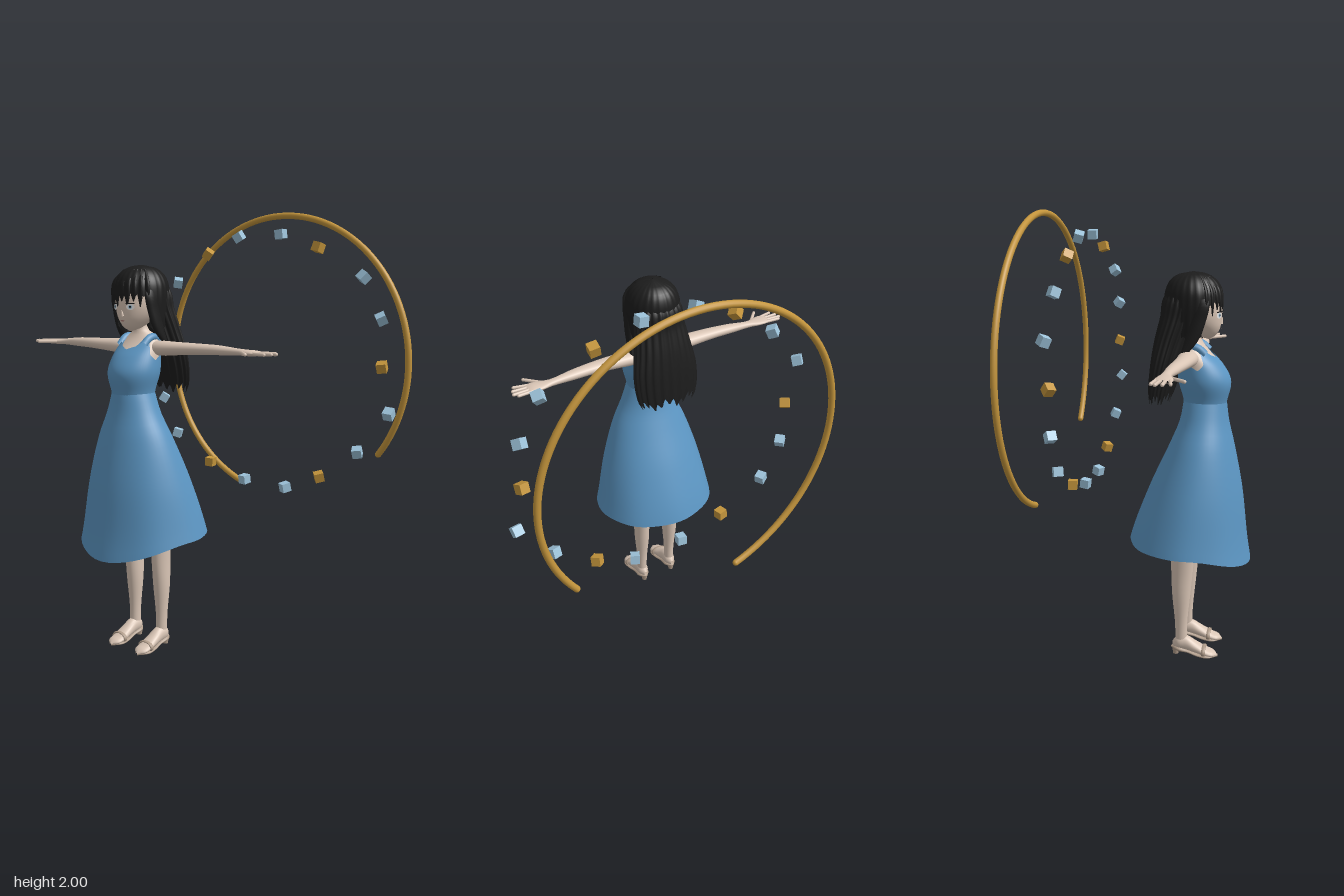
import * as THREE from 'three';

const mat = (name, color, side = THREE.FrontSide) => {
  const m = new THREE.MeshStandardMaterial({ color, side });
  m.name = name;
  return m;
};

// Smooth lookup through rows of [t, ...values]
const curve = (rows, Type = THREE.CubicInterpolant) => {
  const size = rows[0].length - 1;
  const f = new Type(rows.map(r => r[0]), rows.flatMap(r => r.slice(1)), size, new Float32Array(size));
  return t => [...f.evaluate(t)];
};

// Loft of ellipses along y; rows are [y, centreX, centreZ, radiusX, radiusZ].
// low / high trim the ends by angle (0 = front); shape scales the radius.
function loft(rows, { n = 24, m = 20, grow = 0, shape = () => 1,
  low = () => rows[0][0], high = () => rows[rows.length - 1][0] } = {}) {
  const at = curve(rows), pos = [], index = [];
  for (let i = 0; i <= m; i++) {
    for (let j = 0; j < n; j++) {
      const a = j / n * Math.PI * 2;
      const turn = Math.abs(Math.atan2(Math.sin(a), Math.cos(a)));
      const y = THREE.MathUtils.lerp(low(turn, a), high(turn, a), i / m);
      const [cx, cz, rx, rz] = at(y);
      const k = shape(a, y);
      pos.push(cx + Math.sin(a) * (rx * k + grow), y, cz + Math.cos(a) * (rz * k + grow));
      if (i < m) {
        const p = i * n + j, q = i * n + (j + 1) % n;
        index.push(p, q, p + n, q, q + n, p + n);
      }
    }
  }
  const g = new THREE.BufferGeometry();
  g.setAttribute('position', new THREE.Float32BufferAttribute(pos, 3));
  g.setIndex(index);
  g.computeVertexNormals();
  return g;
}

export function createModel() {
  const skin = mat('skin', 0xdac6b6);
  const hair = mat('hair black', 0x1c1c1c, THREE.DoubleSide);
  const blue = mat('dress blue', 0x5c96c3, THREE.DoubleSide);
  const gold = mat('gold', 0xc4953c);
  const pale = mat('pale blue', 0x9dc3da);
  const shoe = mat('shoe tan', 0xb09c8a);
  const white = mat('eye white', 0xf2efec);
  const lip = mat('lip', 0xb08078);

  const model = new THREE.Group();
  const figure = new THREE.Group();
  figure.name = 'figure';
  figure.position.x = -0.13;
  model.add(figure);
  const add = (parent, name, geometry, material, x = 0, y = 0, z = 0) => {
    const mesh = new THREE.Mesh(geometry, material);
    mesh.name = name;
    mesh.position.set(x, y, z);
    parent.add(mesh);
    return mesh;
  };

  // Torso, neck and head
  const torso = [
    [1.0, 0, 0.28, 0.1, 0.09], [1.18, 0, 0.3, 0.09, 0.088], [1.28, 0, 0.295, 0.112, 0.109],
    [1.35, 0, 0.275, 0.108, 0.092], [1.4, 0, 0.25, 0.1, 0.068], [1.435, 0, 0.24, 0.075, 0.05],
    [1.46, 0, 0.24, 0.04, 0.038], [1.53, 0, 0.25, 0.036, 0.036]];
  add(figure, 'torso', loft(torso, { n: 32, m: 30 }), skin);
  add(figure, 'head', loft([
    [1.458, 0, 0.31, 0.004, 0.004], [1.47, 0, 0.3, 0.03, 0.035], [1.5, 0, 0.282, 0.063, 0.074],
    [1.54, 0, 0.267, 0.088, 0.097], [1.6, 0, 0.263, 0.096, 0.102], [1.66, 0, 0.255, 0.09, 0.1],
    [1.71, 0, 0.25, 0.05, 0.05]], { n: 32 }), skin);
  const nose = add(figure, 'nose', new THREE.ConeGeometry(0.009, 0.03, 8), skin, 0, 1.54, 0.365);
  nose.rotation.x = 0.25;
  const mouth = add(figure, 'mouth', new THREE.CircleGeometry(0.012, 12), lip, 0, 1.505, 0.363);
  mouth.scale.y = 0.25;
  mouth.rotation.x = 0.3;

  // Bodice with scooped neck and armholes
  const top = curve([[0, 1.38], [0.4, 1.395], [0.65, 1.425], [0.9, 1.425], [1.2, 1.36], [1.57, 1.335],
    [1.95, 1.36], [2.25, 1.42], [2.6, 1.42], [3.2, 1.4]], THREE.LinearInterpolant);
  add(figure, 'bodice', loft(torso, { n: 64, grow: 0.006, low: () => 1.18, high: a => top(a)[0] }), blue);

  // Flared skirt, longer at the front
  add(figure, 'skirt', loft([
    [0.46, 0, 0.235, 0.32, 0.28], [0.545, 0, 0.235, 0.3, 0.266], [0.8, 0, 0.265, 0.243, 0.205],
    [1.0, 0, 0.29, 0.178, 0.14], [1.1, 0, 0.298, 0.13, 0.108], [1.19, 0, 0.3, 0.097, 0.094]], {
    n: 48,
    low: a => 0.545 - 0.085 * Math.max(0, Math.cos(a)) ** 2.2,
    shape: (a, y) => 1 + 0.015 * Math.cos(8 * a) * Math.max(0, 1 - y)
  }), blue);

  // Hair cap, cut away around the face
  const cap = add(figure, 'hairCap', loft([
    [1.46, 0, 0.235, 0.108, 0.105], [1.54, 0, 0.24, 0.117, 0.12], [1.62, 0, 0.243, 0.122, 0.126],
    [1.67, 0, 0.243, 0.115, 0.12], [1.71, 0, 0.241, 0.09, 0.097], [1.73, 0, 0.24, 0.063, 0.068],
    [1.74, 0, 0.24, 0.037, 0.04], [1.745, 0, 0.24, 0.003, 0.003]], {
    n: 96, m: 24,
    low: (t, a) => (t < 1 ? 1.615 : 1.47) + 0.008 * Math.cos(18 * a),
    shape: a => 1 + 0.012 * Math.cos(24 * a)
  }), hair);
  cap.name = 'hairCap';

  // Long back hair with ridged strands and ragged ends
  add(figure, 'backHair', loft([
    [1.17, 0, 0.097, 0.135, 0.045], [1.25, 0, 0.11, 0.154, 0.056], [1.35, 0, 0.13, 0.156, 0.068],
    [1.45, 0, 0.155, 0.138, 0.077], [1.55, 0, 0.185, 0.12, 0.083], [1.65, 0, 0.21, 0.1, 0.085],
    [1.7, 0, 0.23, 0.04, 0.04]], {
    n: 110, m: 24,
    low: (t, a) => 1.205 + 0.018 * Math.cos(22 * a) + 0.012 * Math.sin(7 * a),
    shape: a => 1 + 0.035 * Math.cos(22 * a)
  }), hair);

  // Fringe strands
  for (let k = -4; k <= 4; k++) {
    const s = Math.sin(k * 0.24), c = Math.cos(k * 0.24);
    const row = (y, r, w, d) => [y, s * r, 0.243 + c * r, w, d];
    add(figure, 'fringeStrand', loft([
      row(k % 2 ? 1.565 : 1.588, 0.122, 0.002, 0.002), row(1.62, 0.121, 0.015, 0.007),
      row(1.68, 0.11, 0.015, 0.007), row(1.725, 0.07, 0.01, 0.005)], { n: 10, m: 10 }), hair);
  }

  // Paired parts, built for the left side and mirrored
  for (const side of [1, -1]) {
    const half = new THREE.Group();
    half.name = side > 0 ? 'leftSide' : 'rightSide';
    half.scale.x = side;
    figure.add(half);

    add(half, 'sideLock', loft([
      [1.38, 0.128, 0.205, 0.004, 0.006], [1.46, 0.113, 0.25, 0.015, 0.028],
      [1.55, 0.105, 0.278, 0.017, 0.034], [1.62, 0.1, 0.29, 0.016, 0.034],
      [1.68, 0.08, 0.28, 0.01, 0.02]], { n: 12 }), hair);

    // Eyes as thin plates
    const eye = new THREE.Group();
    eye.name = 'eye';
    eye.position.set(0.044, 1.565, 0.359);
    eye.rotation.y = 0.42;
    half.add(eye);
    add(eye, 'eyeWhite', new THREE.CircleGeometry(0.019, 20), white).scale.y = 0.75;
    add(eye, 'iris', new THREE.CircleGeometry(0.009, 16), pale, 0, 0, 0.002);
    add(eye, 'pupil', new THREE.CircleGeometry(0.005, 12), hair, 0, 0, 0.003);
    add(eye, 'lash', new THREE.BoxGeometry(0.038, 0.004, 0.004), hair, 0, 0.014, 0.002);

    // Shoulder strap
    const strap = new THREE.CatmullRomCurve3([[0.07, 1.4, 0.305], [0.072, 1.426, 0.275],
      [0.072, 1.432, 0.24], [0.07, 1.4, 0.195]].map(p => new THREE.Vector3(...p)));
    add(half, 'strap', new THREE.TubeGeometry(strap, 16, 0.017, 10), blue);

    // Arm stretched sideways, lofted along its length
    add(half, 'arm', loft([
      [0.06, -1.385, 0.235, 0.03, 0.043], [0.12, -1.385, 0.238, 0.033, 0.045],
      [0.2, -1.387, 0.238, 0.029, 0.04], [0.32, -1.39, 0.235, 0.024, 0.034],
      [0.42, -1.39, 0.228, 0.021, 0.028], [0.53, -1.387, 0.222, 0.014, 0.021],
      [0.57, -1.386, 0.225, 0.013, 0.032], [0.62, -1.386, 0.228, 0.011, 0.037],
      [0.64, -1.386, 0.228, 0.005, 0.03]], { n: 20, m: 36 }), skin).rotation.z = -Math.PI / 2;

    // Fingers and thumb: [x, z] of the root and tip
    for (const [x0, z0, x1, z1] of [[0.62, 0.2, 0.69, 0.196], [0.625, 0.218, 0.706, 0.214],
      [0.625, 0.237, 0.7, 0.24], [0.62, 0.254, 0.685, 0.268], [0.56, 0.245, 0.622, 0.308]]) {
      const length = Math.hypot(x1 - x0, z1 - z0);
      const finger = add(half, 'finger', new THREE.CapsuleGeometry(0.0075, length, 4, 8), skin,
        (x0 + x1) / 2, 1.386, (z0 + z1) / 2);
      finger.quaternion.setFromUnitVectors(new THREE.Vector3(0, 1, 0),
        new THREE.Vector3(x1 - x0, 0, z1 - z0).normalize());
    }

    // Leg
    add(half, 'leg', loft([
      [0.05, 0.084, 0.218, 0.024, 0.027], [0.15, 0.084, 0.217, 0.026, 0.028],
      [0.3, 0.084, 0.216, 0.037, 0.042], [0.4, 0.084, 0.218, 0.038, 0.049],
      [0.5, 0.084, 0.222, 0.042, 0.053], [0.8, 0.08, 0.245, 0.058, 0.07],
      [1.05, 0.06, 0.28, 0.055, 0.075]], { n: 20, m: 30 }), skin);

    // Foot, lofted from heel to toe, in a low heeled shoe
    const foot = loft([
      [0.178, 0.084, -0.05, 0.008, 0.012], [0.2, 0.084, -0.058, 0.026, 0.032],
      [0.24, 0.084, -0.058, 0.029, 0.036], [0.29, 0.084, -0.04, 0.033, 0.026],
      [0.34, 0.084, -0.022, 0.036, 0.017], [0.37, 0.084, -0.016, 0.027, 0.012],
      [0.384, 0.084, -0.013, 0.004, 0.003]], { n: 20 });
    add(half, 'foot', foot, skin).rotation.x = Math.PI / 2;
    const sole = loft([
      [0.172, 0.084, -0.034, 0.006, 0.004], [0.2, 0.084, -0.033, 0.03, 0.014],
      [0.25, 0.084, -0.024, 0.03, 0.01], [0.3, 0.084, -0.012, 0.037, 0.01],
      [0.35, 0.084, -0.009, 0.038, 0.009], [0.388, 0.084, -0.009, 0.005, 0.006]], { n: 20 });
    add(half, 'shoeSole', sole, shoe).rotation.x = Math.PI / 2;
    add(half, 'shoeHeel', new THREE.CylinderGeometry(0.018, 0.012, 0.034, 12), shoe, 0.084, 0.017, 0.193);
    const band = add(half, 'shoeBand', new THREE.TorusGeometry(0.034, 0.006, 8, 24), shoe, 0.084, 0.027, 0.325);
    band.scale.set(1.08, 0.65, 1.6);
  }

  // Open golden hoop behind the figure
  const R = 0.69, start = -36.5 * Math.PI / 180, sweep = 286.5 * Math.PI / 180;
  const hoop = add(model, 'hoop', new THREE.TorusGeometry(R, 0.015, 12, 96, sweep), gold, 0.105, 1.295, -0.5);
  hoop.rotation.z = start;
  for (const a of [start, start + sweep]) {
    add(model, 'hoopEnd', new THREE.SphereGeometry(0.015, 12, 8), gold,
      0.105 + R * Math.cos(a), 1.295 + R * Math.sin(a), -0.5);
  }

  // Floating cubes in a loose circle; every third one is gold
  const spots = [[0.77, 1.31], [0.76, 1.515], [0.668, 1.692], [0.437, 1.822], [0.235, 1.886], [-0.005, 1.882],
    [-0.193, 1.806], [-0.388, 1.668], [-0.537, 1.487], [-0.493, 1.28], [-0.486, 1.077], [-0.394, 0.9],
    [-0.175, 0.775], [0.04, 0.715], [0.28, 0.71], [0.467, 0.787], [0.662, 0.925], [0.81, 1.11]];
  spots.forEach(([x, y], i) => {
    const cube = add(model, 'floatingCube', new THREE.BoxGeometry(0.042, 0.042, 0.042),
      i % 3 ? pale : gold, x, y, -0.3);
    cube.rotation.set(0.4 + i * 0.2, 0.3 + i * 0.35, 0.1 * i);
  });
  return model;
}
